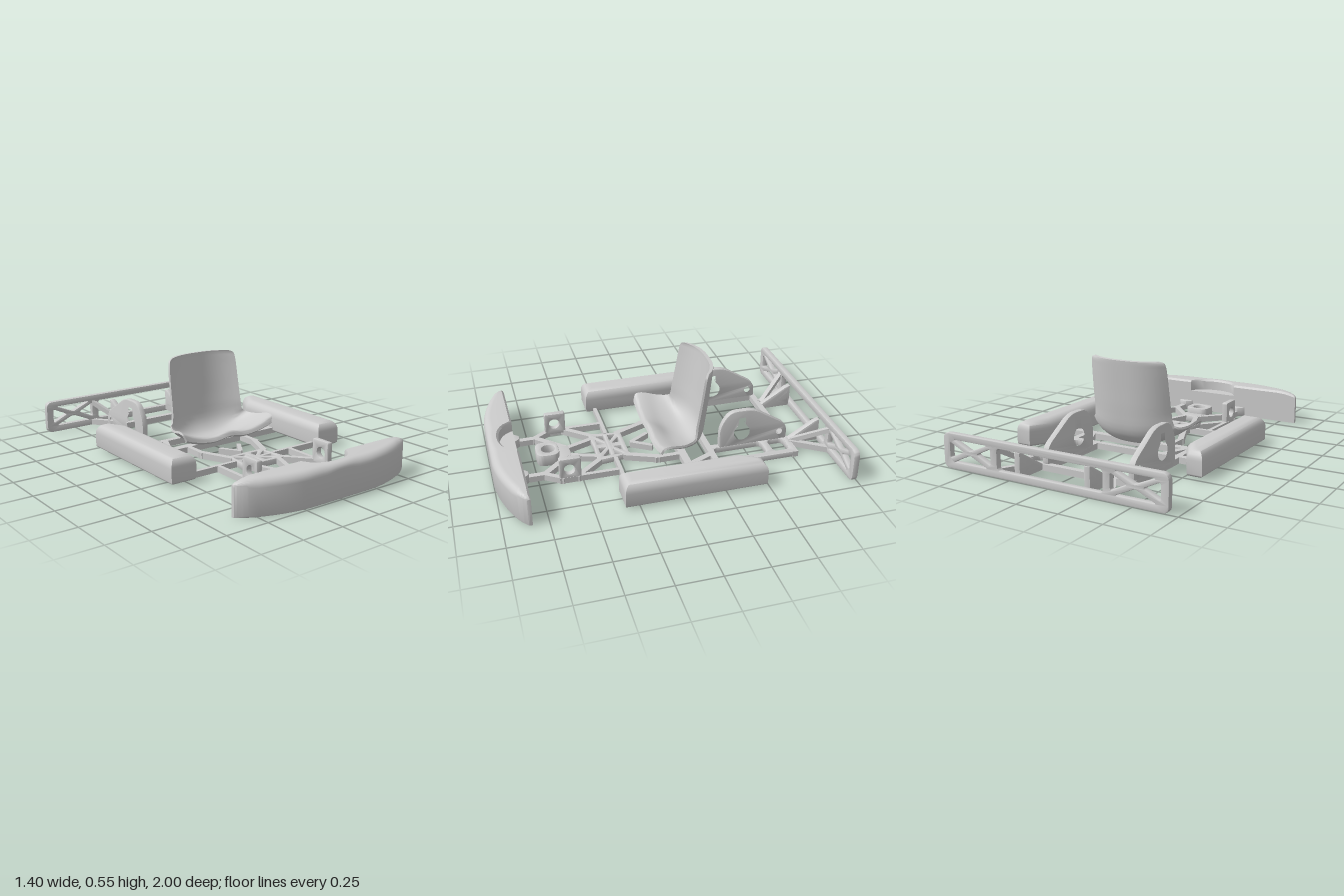
import * as THREE from 'three';
import { toCreasedNormals } from 'three/addons/utils/BufferGeometryUtils.js';

const grey = new THREE.MeshStandardMaterial({ color: 0xcccccc });
const V = (x, y, z) => new THREE.Vector3(x, y, z);

export function createModel() {
  const model = new THREE.Group();
  const add = (name, geo, parent = model) => {
    const m = new THREE.Mesh(geo, grey);
    m.name = name;
    parent.add(m);
    return m;
  };
  const poly = pts => pts.map(p => new THREE.Vector2(p[0], p[1]));

  // Polygon path with rounded corners
  const rounded = (pts, r, path = new THREE.Path()) => {
    const p = poly(pts), n = p.length;
    p.forEach((c, i) => {
      const a = p[(i + n - 1) % n], b = p[(i + 1) % n];
      const k = Math.min(r, a.distanceTo(c) / 2.2, b.distanceTo(c) / 2.2);
      const s = c.clone().add(a.clone().sub(c).setLength(k));
      const e = c.clone().add(b.clone().sub(c).setLength(k));
      if (i) path.lineTo(s.x, s.y); else path.moveTo(s.x, s.y);
      path.quadraticCurveTo(c.x, c.y, e.x, e.y);
    });
    path.closePath();
    return path;
  };
  const rect = (x0, y0, x1, y1) => [[x0, y0], [x1, y0], [x1, y1], [x0, y1]];
  const circle = (x, y, r) => new THREE.Path().absarc(x, y, r, 0, Math.PI * 2, true);
  const extrude = (pts, r, holes, depth, bevel = 0.005) => {
    const s = rounded(pts, r, new THREE.Shape());
    s.holes.push(...holes);
    return new THREE.ExtrudeGeometry(s, {
      depth: depth - 2 * bevel, bevelSize: bevel, bevelThickness: bevel, bevelOffset: -bevel, bevelSegments: 2, curveSegments: 10,
    }).translate(0, 0, bevel);
  };
  // Flat plate drawn in (x, z), and upright plate drawn in (z, y)
  const plate = (name, pts, r, holes, y0, y1, parent) =>
    add(name, toCreasedNormals(extrude(pts, r, holes, y1 - y0).rotateX(Math.PI / 2).translate(0, y1, 0), 0.6), parent);
  const upright = (name, pts, r, holes, x, t, parent) =>
    add(name, toCreasedNormals(extrude(pts, r, holes, t).rotateY(-Math.PI / 2).translate(x + t / 2, 0, 0), 0.6), parent);

  // Straight bar between two points
  const bar = (name, a, b, w, h, parent) => {
    const m = add(name, new THREE.BoxGeometry(w, h, a.distanceTo(b) + w * 0.4), parent);
    m.position.copy(a).lerp(b, 0.5);
    m.lookAt(b);
    return m;
  };

  // Closed skin over matching rings, with strip caps
  const loft = rings => {
    const n = rings[0].length, last = (rings.length - 1) * n, idx = [];
    for (let i = 0; i < rings.length - 1; i++) for (let j = 0; j < n; j++) {
      const a = i * n + j, b = i * n + (j + 1) % n;
      idx.push(a, b, a + n, b, b + n, a + n);
    }
    for (let j = 0; j < n / 2 - 1; j++) {
      const k = n - 1 - j;
      idx.push(j, k, j + 1, j + 1, k, k - 1);
      idx.push(last + j, last + j + 1, last + k, last + j + 1, last + k - 1, last + k);
    }
    const p = rings.flat();
    let vol = 0;
    for (let i = 0; i < idx.length; i += 3) vol += p[idx[i]].dot(p[idx[i + 1]].clone().cross(p[idx[i + 2]]));
    if (vol < 0) idx.reverse();
    const g = new THREE.BufferGeometry().setFromPoints(p);
    g.setIndex(idx);
    return toCreasedNormals(g, 0.7);
  };

  // Front bumper, with a round pocket in its rear top edge
  const bumper = [];
  for (let i = 0; i <= 80; i++) {
    const x = -0.6 * Math.cos(Math.PI * i / 80), ax = Math.abs(x);
    const t = Math.max(0, (ax - 0.2) / 0.4), e = Math.max(0, (ax - 0.46) / 0.14);
    const zf = 1 - 0.115 * t ** 1.8 - 0.025 * t ** 12;
    const zb = ax < 0.155 ? 0.84 + 0.095 * Math.sqrt(1 - (x / 0.155) ** 2) : 0.84;
    const H = 0.2 - 0.035 * (1 - Math.sqrt(Math.max(0, 1 - e * e)));
    const r = Math.min(0.045, (zf - zb) / 2), b = Math.min(0.012, r / 2), s = Math.min(0.015, r / 2);
    const ring = [[0.84, 0], [zf - s, 0], [zf - s * 0.3, s * 0.3], [zf, s]];
    for (let k = 0; k <= 6; k++) {
      const q = k / 6 * Math.PI / 2;
      ring.push([zf - r + r * Math.cos(q), H - r + r * Math.sin(q)]);
    }
    ring.push([zb + b, H], [zb, H - b], [zb, 0.13], [0.84, 0.13], [0.84, 0.06]);
    bumper.push(ring.map(([z, y]) => V(x, y, z)));
  }
  add('frontBumper', loft(bumper));

  // Seat shell: z, y, half width, side forward, side rise, middle hump
  const stations = [
    [0.055, 0.085, 0.315, 0, 0.045, 0.02], [0.04, 0.105, 0.33, 0, 0.065, 0.025], [0, 0.1, 0.33, 0, 0.078, 0.02],
    [-0.09, 0.07, 0.31, 0, 0.09, 0], [-0.19, 0.065, 0.28, 0.03, 0.1, 0], [-0.245, 0.12, 0.262, 0.075, 0.06, 0],
    [-0.27, 0.24, 0.254, 0.09, 0.01, 0], [-0.287, 0.38, 0.25, 0.085, 0, 0], [-0.302, 0.51, 0.243, 0.08, 0, 0],
    [-0.305, 0.538, 0.235, 0.075, 0, 0], [-0.306, 0.55, 0.21, 0.06, 0, 0]];
  const curves = [0, 3].map(o => new THREE.CatmullRomCurve3(stations.map(s => V(s[o], s[o + 1], s[o + 2]))));
  const seat = [];
  for (let i = 0; i <= 40; i++) {
    const c = curves[0].getPoint(i / 40), d = curves[1].getPoint(i / 40), tan = curves[0].getTangent(i / 40);
    const ny = tan.x, nz = -tan.y, len = Math.hypot(ny, nz), inner = [], outer = [];
    for (let k = 0; k <= 24; k++) {
      const u = k / 12 - 1, f = Math.abs(u) ** 2.6, th = 0.022 * (1 - 0.45 * u ** 8);
      const p = V(u * c.z, c.y + d.y * f + d.z * Math.exp(-((u / 0.25) ** 2)), c.x + d.x * f);
      inner.push(p);
      outer.unshift(V(p.x * 1.015, p.y + th * ny / len, p.z + th * nz / len));
    }
    seat.push([...inner, ...outer]);
  }
  add('seat', loft(seat));

  // Rear bumper with cross-braced ends
  const rearHoles = [rounded(rect(-0.33, 0.04, 0.33, 0.16), 0.02)];
  for (const s of [1, -1]) {
    for (const t of [
      [[0.655, 0.06], [0.655, 0.15], [0.56, 0.105]], [[0.375, 0.06], [0.375, 0.15], [0.47, 0.105]],
      [[0.4, 0.165], [0.63, 0.165], [0.515, 0.115]], [[0.4, 0.04], [0.63, 0.04], [0.515, 0.092]],
    ]) rearHoles.push(rounded(t.map(([x, y]) => [x * s, y]), 0.012));
  }
  add('rearBumper', toCreasedNormals(extrude(rect(-0.7, 0, 0.7, 0.2), 0.04, rearHoles, 0.036).translate(0, 0, -1), 0.6));

  // Floor frame
  const frame = new THREE.Group();
  frame.name = 'chassisFrame';
  model.add(frame);
  const rail = (x0, z0, x1, z1, w = 0.036, h = 0.036) => bar('frameRail', V(x0, 0.02, z0), V(x1, 0.02, z1), w, h, frame);
  rail(-0.365, -0.763, 0.365, -0.763);
  rail(-0.46, -0.28, 0.46, -0.28);
  rail(-0.46, -0.113, 0.46, -0.113, 0.045);
  rail(0.19, -0.763, 0.19, -0.28);
  // Right-angled ladder beside the drive side
  plate('engineMount', rect(0.19, -0.78, 0.37, -0.28), 0.01,
    [rounded(rect(0.21, -0.742, 0.33, -0.642), 0.03), rounded(rect(0.21, -0.6, 0.33, -0.3), 0.03)], 0.002, 0.038, frame);
  rail(-0.352, -0.763, -0.352, -0.1);
  rail(0.352, -0.3, 0.352, -0.1);

  for (const s of [1, -1]) {
    for (const [a, b, c, d, w, h] of [
      [0.25, -0.28, 0.33, -0.113], [0.46, -0.3, 0.43, -0.26], [0.2, -0.113, 0.2, 0.05, 0.03],
      [0.2, 0.03, 0.12, 0.22, 0.035], [0.07, 0.04, 0, 0.15, 0.025],
      [0.14, 0.28, 0.46, 0.28, 0.022], [0.262, 0.28, 0.262, 0.63, 0.024],
      [0.13, 0.37, 0.265, 0.53, 0.032], [0.1, 0.37, 0.035, 0.55, 0.03],
      [0.05, 0.55, 0.19, 0.7, 0.035], [0.265, 0.61, 0.19, 0.72, 0.03], [0.195, 0.69, 0.195, 0.85, 0.034],
    ]) rail(s * a, b, s * c, d, w, h);
    // Flared ends where the front rails meet the bumper
    plate('bumperFoot', [[0.14, 0.845], [0.25, 0.845], [0.212, 0.8], [0.178, 0.8]].map(([x, z]) => [x * s, z]), 0.01, [], 0.002, 0.06, frame);

    // Steering pivot bracket
    upright('pivotBracket', [[0.51, 0.02], [0.635, 0.02], [0.635, 0.16], [0.51, 0.16]], 0.01, [circle(0.578, 0.09, 0.032)], s * 0.255, 0.035);

    // Rear bumper support web and diagonal strut
    upright('bumperWeb', [[-0.775, 0.005], [-0.97, 0.005], [-0.97, 0.15], [-0.94, 0.14], [-0.775, 0.038]], 0.005,
      [rounded([[-0.87, 0.045], [-0.955, 0.045], [-0.955, 0.11]], 0.015)], s * 0.22, 0.036);
    bar('bumperStrut', V(s * 0.25, 0.025, -0.78), V(s * 0.37, 0.02, -0.97), 0.03, 0.036);
    bar('bumperBrace', V(s * 0.24, 0.035, -0.79), V(s * 0.365, 0.15, -0.97), 0.028, 0.028);

    // Side pod: broad rounding above, small rounding below
    const pod = extrude([[0.61, 0.335], [0.61, -0.49], [0.52, -0.49], [0.45, -0.365], [0.45, 0.335]].map(([x, z]) => [x * s, z]), 0.02, [], 0.01, 0);
    pod.dispose();
    const shape = new THREE.Shape(poly([[0.61, 0.335], [0.61, -0.49], [0.52, -0.49], [0.45, -0.365], [0.45, 0.335]].map(([x, z]) => [x * s, z])));
    const g = new THREE.ExtrudeGeometry(shape, { depth: 0.075, bevelSize: 0.05, bevelThickness: 0.06, bevelOffset: -0.05, bevelSegments: 8 });
    const pos = g.attributes.position;
    for (let i = 0; i < pos.count; i++) if (pos.getZ(i) > 0.075) pos.setZ(i, 0.075 + (pos.getZ(i) - 0.075) * 0.35);
    add('sidePod', toCreasedNormals(g.rotateX(Math.PI / 2).translate(0, 0.1, 0), 0.9));
  }

  // Pierced node plate ahead of the seat
  const nodeHoles = [];
  for (const s of [1, -1]) for (const t of [1, -1]) {
    nodeHoles.push(rounded([[0.02, 0.07], [0.075, 0.07], [0.02, 0.022]].map(([x, z]) => [x * s, 0.287 + z * t]), 0.008));
    nodeHoles.push(rounded([[0.11, 0.06], [0.11, 0.012], [0.045, 0.012]].map(([x, z]) => [x * s, 0.287 + z * t]), 0.008));
  }
  plate('nodePlate', [[-0.12, 0.19], [0.12, 0.19], [0.135, 0.28], [0.15, 0.39], [0, 0.38], [-0.15, 0.39], [-0.135, 0.28]], 0.015, nodeHoles, 0.002, 0.038, frame);

  // Steering column socket
  plate('socketWeb', [[-0.05, 0.525], [0.05, 0.525], [0.075, 0.61], [-0.075, 0.61]], 0.01, [], 0.002, 0.04, frame);
  plate('steeringSocket', rect(-0.075, 0.595, 0.075, 0.73), 0.05, [circle(0, 0.657, 0.04)], 0.002, 0.075, frame);

  // Rear axle carriers with keyhole openings
  for (const x of [-0.352, 0.19]) {
    const key = new THREE.Path().moveTo(-0.505, 0.17);
    key.lineTo(-0.505, 0.225).lineTo(-0.455, 0.225).lineTo(-0.455, 0.17);
    key.absarc(-0.48, 0.12, 0.056, 1.11, Math.PI - 1.11, true);
    key.closePath();
    upright('axleCarrier', [[-0.34, 0.005], [-0.77, 0.005], [-0.77, 0.13], [-0.55, 0.268], [-0.4, 0.268], [-0.34, 0.17]], 0.05,
      [key, circle(-0.722, 0.088, 0.025)], x, 0.036);
  }
  return model;
}
